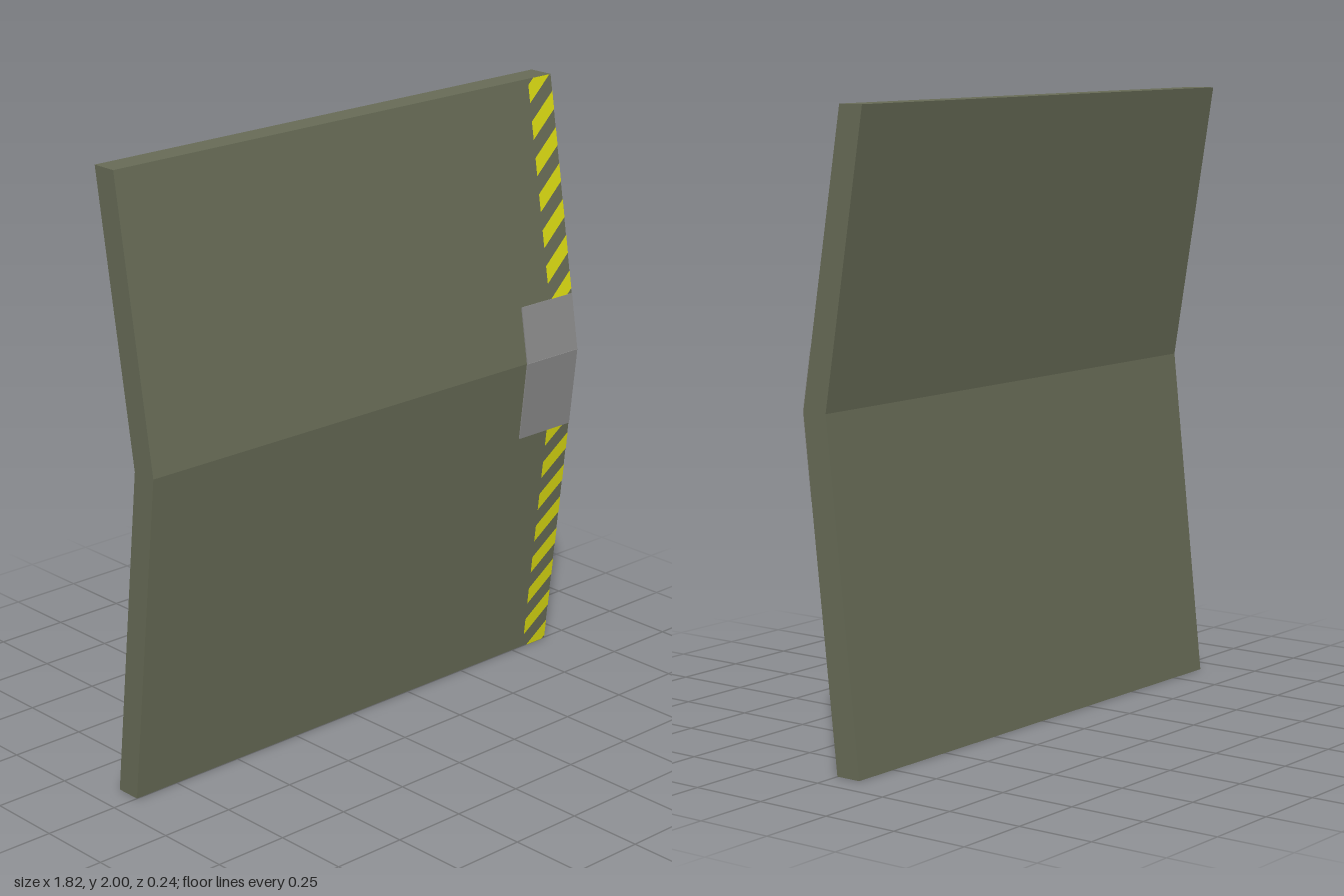
import * as THREE from 'three';

const olive = new THREE.MeshStandardMaterial({ color: 0x676b56 });
olive.name = 'olive panel';
const yellow = new THREE.MeshStandardMaterial({ color: 0xd8d812 });
yellow.name = 'warning yellow';
const grey = new THREE.MeshStandardMaterial({ color: 0x8b8b8b });
grey.name = 'plate grey';

const HALF = 0.91, BEND_Y = 1.09, BEND_Z = 0.12;
const STRIPE_X = 0.8, STRIPE_W = 0.108;

function shapeFrom(points) {
  return new THREE.Shape(points.map(([x, y]) => new THREE.Vector2(x, y)));
}

// Cut a polygon at a height, keeping the part above (sign 1) or below (sign -1)
function clip(points, y, sign) {
  const out = [];
  points.forEach((a, i) => {
    const b = points[(i + 1) % points.length];
    const da = (a[1] - y) * sign, db = (b[1] - y) * sign;
    if (da >= 0) out.push(a);
    if (da * db < 0) {
      const t = da / (da - db);
      out.push([a[0] + (b[0] - a[0]) * t, y]);
    }
  });
  return out;
}

// Diagonal stripes between two heights along a face
function addStripes(face, from, to, start) {
  const period = 0.12, thick = 0.06, rise = 0.085;
  const right = STRIPE_X + STRIPE_W;
  const shapes = [];
  for (let y = start; y > from - 0.2; y -= period) {
    let p = [[STRIPE_X, y], [right, y + rise], [right, y + rise + thick], [STRIPE_X, y + thick]];
    p = clip(clip(p, from, 1), to, -1);
    if (p.length > 2) shapes.push(shapeFrom(p));
  }
  const mesh = new THREE.Mesh(new THREE.ShapeGeometry(shapes), yellow);
  mesh.name = 'warningStripes';
  mesh.position.z = 0.003;
  face.add(mesh);
}

// Thin grey plate between two heights along a face
function addPlate(face, from, to) {
  const mesh = new THREE.Mesh(new THREE.BoxGeometry(0.238, to - from, 0.004), grey);
  mesh.name = 'latchPlate';
  mesh.position.set(0.789, (from + to) / 2, 0.002);
  face.add(mesh);
}

// Group whose local y runs up one of the sloping front faces
function makeFace(name, y, z, dy, dz) {
  const face = new THREE.Group();
  face.name = name;
  face.position.set(0, y, z);
  face.rotation.x = Math.atan2(dz, dy);
  return face;
}

export function createModel() {
  const model = new THREE.Group();
  model.name = 'bentDoor';

  // Bent slab: side profile (shape x = -z) extruded across the width
  const profile = shapeFrom([
    [0, 0], [0.085, 0], [-0.033, BEND_Y], [0.116, 2], [0.03, 2], [-BEND_Z, BEND_Y],
  ]);
  const geometry = new THREE.ExtrudeGeometry(profile, { depth: HALF * 2, bevelEnabled: false });
  geometry.translate(0, 0, -HALF);
  geometry.rotateY(Math.PI / 2);
  const panel = new THREE.Mesh(geometry, olive);
  panel.name = 'doorPanel';
  model.add(panel);

  // Markings on the upper and lower front faces
  const upperLength = Math.hypot(2 - BEND_Y, 0.15);
  const upper = makeFace('upperMarkings', BEND_Y, BEND_Z, 2 - BEND_Y, -0.15);
  addPlate(upper, 0, 0.19);
  addStripes(upper, 0.19, upperLength, upperLength - 0.08);
  const lowerLength = Math.hypot(BEND_Y, BEND_Z);
  const lower = makeFace('lowerMarkings', 0, 0, BEND_Y, BEND_Z);
  addPlate(lower, lowerLength - 0.27, lowerLength);
  addStripes(lower, 0, lowerLength - 0.27, lowerLength - 0.33);
  model.add(upper, lower);

  return model;
}
